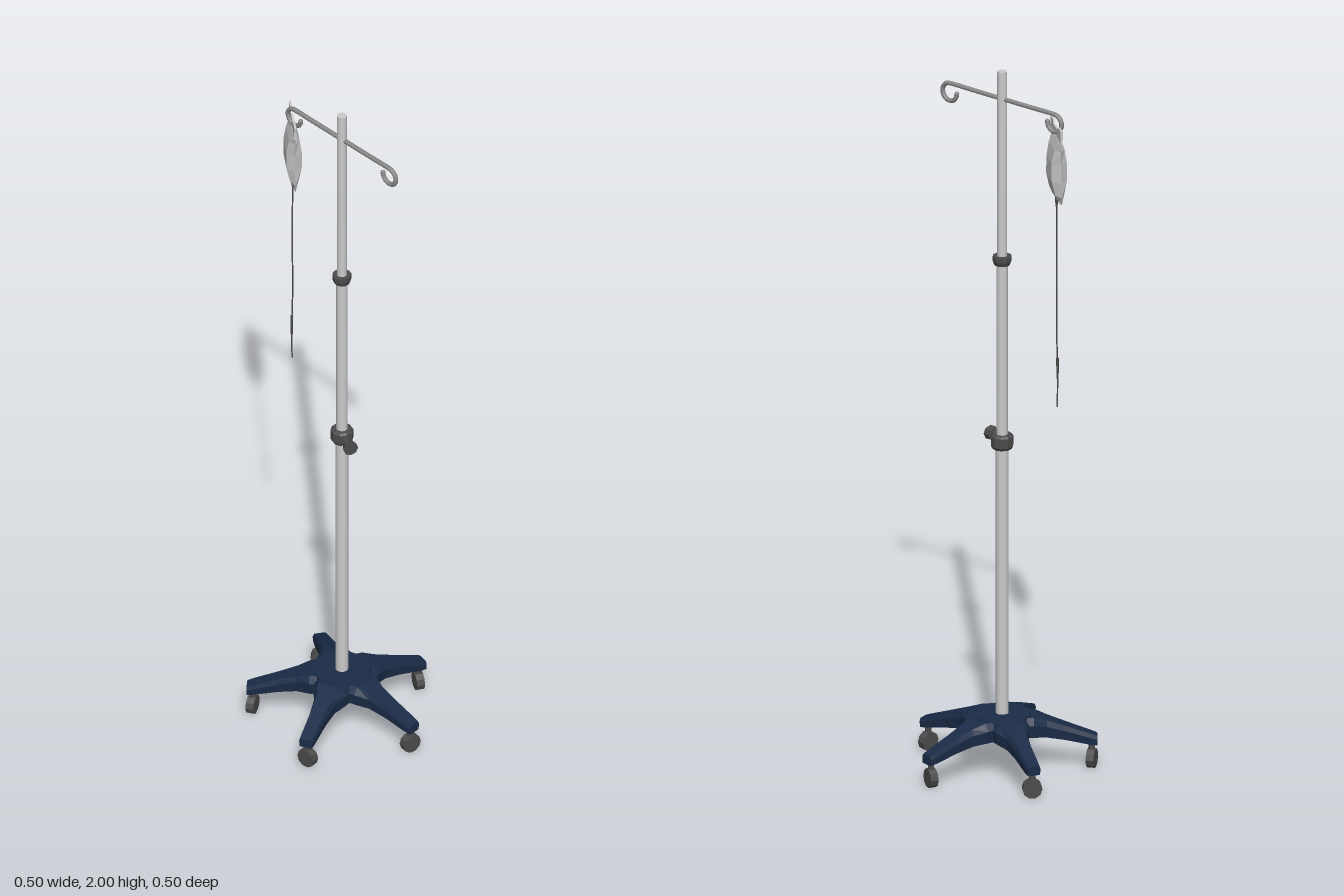
import * as THREE from 'three';

const mat = (color, flat = true) =>
  new THREE.MeshStandardMaterial({ color, flatShading: flat, side: THREE.DoubleSide });
const steel = mat(0xcccccc, false);
const hookSteel = mat(0x8c8c8c, false);
const dark = mat(0x4c4c4c);
const navy = mat(0x1b2c48);
const vinyl = mat(0xcccccc);

function add(parent, name, geometry, material, x = 0, y = 0, z = 0) {
  const mesh = new THREE.Mesh(geometry, material);
  mesh.name = name;
  mesh.position.set(x, y, z);
  parent.add(mesh);
  return mesh;
}

// Skin a list of equal-length rings and close both ends
function loft(rings) {
  const n = rings[0].length, idx = [];
  rings.slice(1).forEach((_, i) => {
    for (let j = 0; j < n; j++) {
      const a = i * n + j, b = i * n + (j + 1) % n;
      idx.push(a, b, b + n, a, b + n, a + n);
    }
  });
  const last = (rings.length - 1) * n;
  for (let j = 1; j < n - 1; j++) idx.push(0, j + 1, j, last, last + j, last + j + 1);
  const g = new THREE.BufferGeometry();
  g.setAttribute('position', new THREE.Float32BufferAttribute(rings.flat(2), 3));
  g.setIndex(idx);
  g.computeVertexNormals();
  return g;
}

// Five-legged base with casters
function makeBase() {
  const base = new THREE.Group();
  base.name = 'base';
  add(base, 'hub', new THREE.CylinderGeometry(0.08, 0.09, 0.056, 10), navy, 0, 0.135, 0);
  // r, half width at top, half width at bottom, top y, bottom y
  const legRings = [
    [0.04, 0.045, 0.06, 0.161, 0.11],
    [0.085, 0.036, 0.05, 0.16, 0.106],
    [0.12, 0.024, 0.031, 0.148, 0.1],
    [0.17, 0.019, 0.024, 0.13, 0.09],
    [0.235, 0.017, 0.021, 0.106, 0.075],
    [0.256, 0.015, 0.019, 0.098, 0.072],
  ].map(([r, t, b, top, bot]) => {
    const mid = top - 0.35 * (top - bot);
    return [[r, top, -t], [r, top, t], [r, mid, b], [r, bot, b * 0.9], [r, bot, -b * 0.9], [r, mid, -b]];
  });
  const legGeometry = loft(legRings);
  for (let k = 0; k < 5; k++) {
    const arm = new THREE.Group();
    arm.name = 'leg' + (k + 1);
    arm.rotation.y = THREE.MathUtils.degToRad(6 + 72 * k);
    add(arm, 'legArm', legGeometry, navy);
    const caster = new THREE.Group();
    caster.name = 'caster';
    caster.position.x = 0.241;
    caster.rotation.y = THREE.MathUtils.degToRad(-15);
    add(caster, 'casterStem', new THREE.CylinderGeometry(0.009, 0.009, 0.035, 8), dark, 0, 0.066, 0);
    add(caster, 'casterWheel', new THREE.CylinderGeometry(0.027, 0.027, 0.022, 10), dark, 0, 0.031, 0)
      .rotation.z = Math.PI / 2;
    arm.add(caster);
    base.add(arm);
  }
  return base;
}

// Telescoping pole, collars and clamp knob
function makePole() {
  const pole = new THREE.Group();
  pole.name = 'pole';
  [[0.0175, 0.12, 0.95, 'lowerPole'], [0.0155, 0.93, 1.465, 'middlePole'], [0.0135, 1.45, 2, 'upperPole']]
    .forEach(([r, y0, y1, name]) =>
      add(pole, name, new THREE.CylinderGeometry(r, r, y1 - y0, 16), steel, 0, (y0 + y1) / 2, 0));
  const collar = (name, points, y) => add(pole, name,
    new THREE.LatheGeometry(points.map(p => new THREE.Vector2(...p)), 10), dark, 0, y, 0);
  collar('upperCollar', [[0.014, -0.014], [0.021, -0.014], [0.026, -0.002], [0.026, 0.012], [0.013, 0.012]], 1.463);
  collar('lowerCollar', [[0.017, -0.021], [0.026, -0.021], [0.031, -0.013], [0.031, 0.014],
    [0.026, 0.02], [0.015, 0.02]], 0.943);
  const knob = new THREE.Group();
  knob.name = 'clampKnob';
  knob.position.y = 0.943;
  knob.rotation.y = -0.42;
  add(knob, 'knobNeck', new THREE.CylinderGeometry(0.011, 0.011, 0.03, 8), dark, 0.038, 0, 0)
    .rotation.z = Math.PI / 2;
  add(knob, 'knobHead', new THREE.CylinderGeometry(0.021, 0.016, 0.02, 8), dark, 0.062, 0, 0)
    .rotation.z = -Math.PI / 2;
  pole.add(knob);
  return pole;
}

// Crossbar with a curled hook at each end
function makeHooks() {
  const bar = new THREE.Group();
  bar.name = 'hookBar';
  const half = [new THREE.Vector3(0, 1.925, 0), new THREE.Vector3(0.1, 1.925, 0)];
  for (let i = 0; i <= 12; i++) {
    const a = Math.PI / 2 - i / 12 * Math.PI * 1.5;
    half.push(new THREE.Vector3(0.185 + 0.025 * Math.cos(a), 1.9 + 0.025 * Math.sin(a), 0));
  }
  [1, -1].forEach(s => {
    const path = new THREE.CatmullRomCurve3(half.map(p => new THREE.Vector3(p.x * s, p.y, 0)));
    add(bar, s > 0 ? 'leftHook' : 'rightHook', new THREE.TubeGeometry(path, 60, 0.0065, 8), hookSteel);
    add(bar, 'hookTip', new THREE.SphereGeometry(0.0065, 8, 6), hookSteel, s * 0.16, 1.9, 0);
  });
  return bar;
}

// Fluid bag hanging at an angle, with its drip line
function makeBag() {
  const bag = new THREE.Group();
  bag.name = 'fluidBag';
  bag.position.set(-0.195, 0, -0.003);
  bag.rotation.y = THREE.MathUtils.degToRad(-37);
  // y, half width, half thickness
  const rings = [
    [1.69, 0.066, 0.003], [1.71, 0.064, 0.012], [1.75, 0.057, 0.021],
    [1.8, 0.055, 0.021], [1.84, 0.058, 0.014], [1.87, 0.062, 0.004],
  ].map(([y, w, t]) =>
    [[w, y, 0], [w * 0.6, y, -t], [-w * 0.6, y, -t], [-w, y, 0], [-w * 0.6, y, t], [w * 0.6, y, t]]);
  add(bag, 'bagBody', loft(rings), vinyl);
  // Hanging flap with a slot for the hook
  const flap = new THREE.Shape([[-0.062, 1.862], [0.062, 1.862], [0.064, 1.902], [0.03, 1.902],
    [0.02, 1.892], [-0.02, 1.892], [-0.03, 1.902], [-0.064, 1.902]].map(p => new THREE.Vector2(...p)));
  flap.holes.push(new THREE.Path().absellipse(0, 1.878, 0.018, 0.008, 0, Math.PI * 2, true));
  add(bag, 'bagFlap', new THREE.ExtrudeGeometry(flap, { depth: 0.006, bevelEnabled: false, curveSegments: 5 }),
    vinyl, 0, 0, -0.003);
  add(bag, 'bagPort', new THREE.CylinderGeometry(0.005, 0.003, 0.03, 6), dark, 0, 1.68, 0);
  const line = new THREE.CatmullRomCurve3([[0, 1.68, 0], [0.002, 1.5, 0.001], [-0.002, 1.3, 0],
    [-0.003, 1.2, 0.002], [-0.005, 1.09, 0.001]].map(p => new THREE.Vector3(...p)));
  add(bag, 'dripLine', new THREE.TubeGeometry(line, 24, 0.002, 6), dark);
  add(bag, 'lineClamp', new THREE.CylinderGeometry(0.004, 0.003, 0.06, 6), dark, -0.003, 1.2, 0.002);
  return bag;
}

export function createModel() {
  const model = new THREE.Group();
  model.name = 'dripStand';
  model.add(makeBase(), makePole(), makeHooks(), makeBag());
  model.children.forEach(part => part.position.add(new THREE.Vector3(-0.004, -0.004, 0.01)));
  model.getObjectByName('upperPole').position.y += 0.004;
  return model;
}
